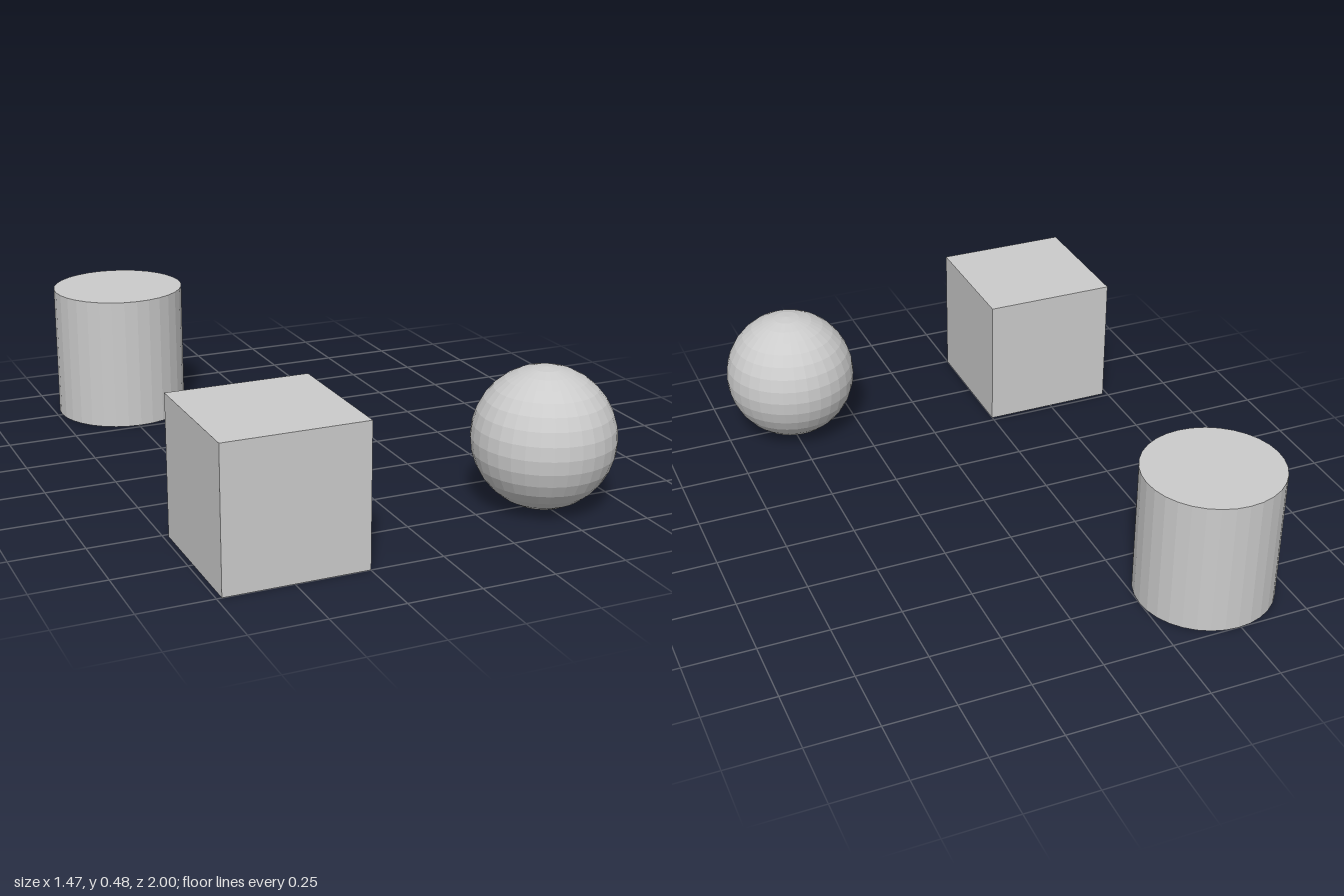
import * as THREE from 'three';

export function createModel() {
  const model = new THREE.Group();
  const size = 0.484; // shared width, height and depth of every solid
  const x = 0.491, z = 0.758;
  const material = new THREE.MeshStandardMaterial({ color: 0xcccccc, flatShading: true });

  function add(name, geometry, px, pz) {
    const mesh = new THREE.Mesh(geometry, material);
    mesh.name = name;
    mesh.position.set(px, size / 2, pz);
    model.add(mesh);
  }

  // Cube at the front right
  add('cube', new THREE.BoxGeometry(size, size, size), -x, z);
  // Faceted sphere at the front left
  add('sphere', new THREE.SphereGeometry(size / 2, 32, 16), x, z);
  // Faceted cylinder at the back right
  add('cylinder', new THREE.CylinderGeometry(size / 2, size / 2, size, 32), -x, -z);

  return model;
}
